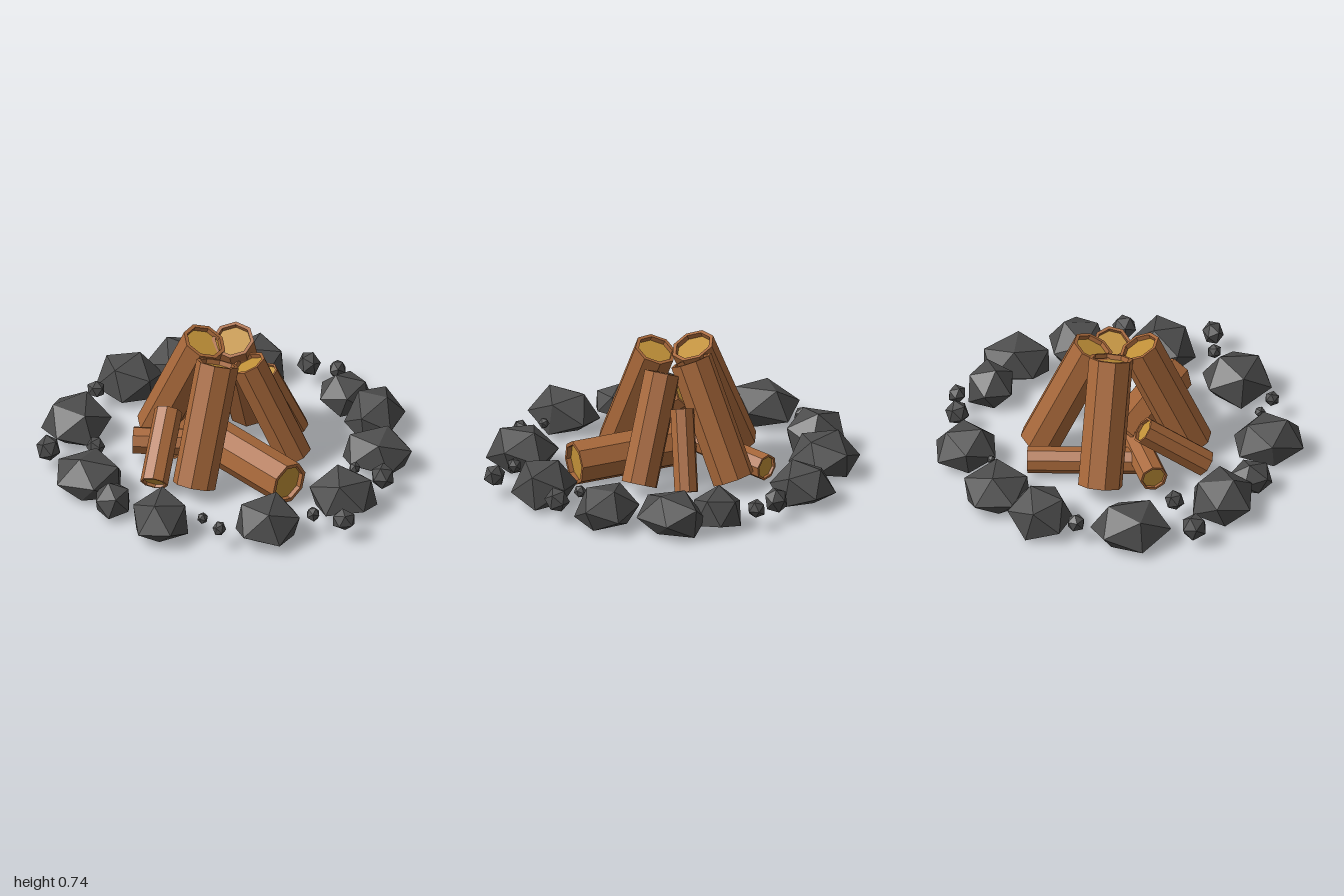
import * as THREE from 'three';

const bark = new THREE.MeshStandardMaterial({ color: 0xa8683a, flatShading: true });
const wood = new THREE.MeshStandardMaterial({ color: 0xc09038, flatShading: true });
const stone = new THREE.MeshStandardMaterial({ color: 0x4c4c4c, flatShading: true });

const SIDES = 8;
const UP = new THREE.Vector3(0, 1, 0);

// Seeded random numbers in 0..1
function makeRandom(seed) {
  return () => {
    seed = (seed * 16807) % 2147483647;
    return seed / 2147483647;
  };
}

// Octagonal log between two end centres: a bark shell with raised rims and recessed wood ends
function makeLog(name, from, to, r) {
  const a = new THREE.Vector3(...from);
  const b = new THREE.Vector3(...to);
  const half = a.distanceTo(b) / 2;
  const inner = r * 0.83;
  const recess = r * 0.22;
  const profile = [
    [inner, -half + recess], [inner, -half], [r, -half],
    [r, half], [inner, half], [inner, half - recess],
  ].map(([x, y]) => new THREE.Vector2(x, y));

  const log = new THREE.Group();
  log.name = name;
  const shell = new THREE.Mesh(new THREE.LatheGeometry(profile, SIDES), bark);
  shell.name = 'bark';
  const core = new THREE.Mesh(
    new THREE.CylinderGeometry(inner, inner, 2 * (half - recess), SIDES), wood);
  core.name = 'woodCore';
  log.add(shell, core);

  log.quaternion.setFromUnitVectors(UP, b.clone().sub(a).normalize());
  log.position.copy(a).add(b).multiplyScalar(0.5);
  return log;
}

// Faceted stone: a turned icosahedron cut flat below, then fitted to a box
function makeStone(name, random, min, max, cut) {
  const geo = new THREE.IcosahedronGeometry(1, 0);
  geo.rotateX(random() * 6.28).rotateZ(random() * 6.28).rotateY(random() * 6.28);
  const pos = geo.attributes.position;
  for (let i = 0; i < pos.count; i++) pos.setY(i, Math.max(pos.getY(i), cut));
  geo.computeBoundingBox();
  const { min: lo, max: hi } = geo.boundingBox;
  const fit = (v, k, n) => min[n] + ((v - lo[k]) / (hi[k] - lo[k])) * (max[n] - min[n]);
  for (let i = 0; i < pos.count; i++) {
    pos.setXYZ(i, fit(pos.getX(i), 'x', 0), fit(pos.getY(i), 'y', 1), fit(pos.getZ(i), 'z', 2));
  }
  geo.computeVertexNormals();
  const mesh = new THREE.Mesh(geo, stone);
  mesh.name = name;
  return mesh;
}

export function createModel() {
  const model = new THREE.Group();
  model.name = 'campfire';
  const random = makeRandom(4217);

  // Logs leaning together, from foot to top
  const leaning = new THREE.Group();
  leaning.name = 'leaningLogs';
  [
    ['frontLog', [-0.10, 0.06, 0.39], [-0.02, 0.67, 0.12], 0.115],
    ['rightLog', [-0.39, 0.06, -0.16], [-0.12, 0.69, -0.05], 0.12],
    ['backLog', [0.06, 0.06, -0.40], [0.02, 0.67, -0.12], 0.115],
    ['leftLog', [0.37, 0.06, 0], [0.12, 0.61, 0], 0.1],
    ['backLeftBranch', [0.34, 0.06, -0.27], [0.19, 0.46, -0.16], 0.065],
    ['frontRightBranch', [-0.31, 0.07, 0.42], [-0.29, 0.32, 0.09], 0.075],
  ].forEach((l) => leaning.add(makeLog(...l)));

  // Logs lying on the ground
  const lying = new THREE.Group();
  lying.name = 'lyingLogs';
  [
    ['thickLyingLog', [0.41, 0.12, 0.375], [-0.12, 0.13, -0.02], 0.12],
    ['backLyingLog', [-0.12, 0.08, -0.50], [-0.27, 0.10, 0.10], 0.072],
    ['sideLyingLog', [-0.475, 0.13, 0.115], [0.05, 0.13, 0.06], 0.075],
  ].forEach((l) => lying.add(makeLog(...l)));

  // Ring of big stones: x from, x to, z from, z to, top
  const ring = new THREE.Group();
  ring.name = 'stoneRing';
  [
    [-1.0, -0.63, -0.28, 0.13, 0.21],
    [-0.78, -0.44, -0.70, -0.35, 0.24],
    [-0.55, -0.19, -0.88, -0.54, 0.23],
    [-0.12, 0.18, -0.97, -0.64, 0.22],
    [0.41, 0.68, -0.70, -0.45, 0.22],
    [0.58, 0.89, -0.57, -0.23, 0.23],
    [0.62, 1.0, -0.20, 0.10, 0.22],
    [0.53, 0.88, 0.23, 0.55, 0.24],
    [0.18, 0.53, 0.55, 0.89, 0.23],
    [-0.36, -0.06, 0.61, 0.96, 0.23],
    [-0.59, -0.40, 0.52, 0.75, 0.18],
    [-0.83, -0.48, 0.28, 0.62, 0.23],
  ].forEach(([x0, x1, z0, z1, top]) => {
    const base = top < 0.2 ? 0.03 : 0.02;
    ring.add(makeStone('stone', random, [x0, base, z0], [x1, top, z1], -0.4));
  });

  // Small pebbles between the stones: x, z, radius
  const pebbles = new THREE.Group();
  pebbles.name = 'pebbles';
  [
    [0.31, -0.80, 0.062], [0.47, -0.77, 0.045], [-0.13, -0.70, 0.021],
    [-0.76, -0.36, 0.045], [-0.91, 0.25, 0.065], [-0.665, 0.19, 0.05],
    [0.725, 0.16, 0.03], [0.885, 0.21, 0.06], [0.585, 0.64, 0.036],
    [0.755, 0.665, 0.055], [0.015, 0.78, 0.027], [0.12, 0.865, 0.036],
  ].forEach(([x, z, r]) => {
    pebbles.add(makeStone('pebble', random, [x - r, 0.12 - r, z - r], [x + r, 0.12 + r, z + r], -0.75));
  });

  model.add(leaning, lying, ring, pebbles);
  return model;
}
